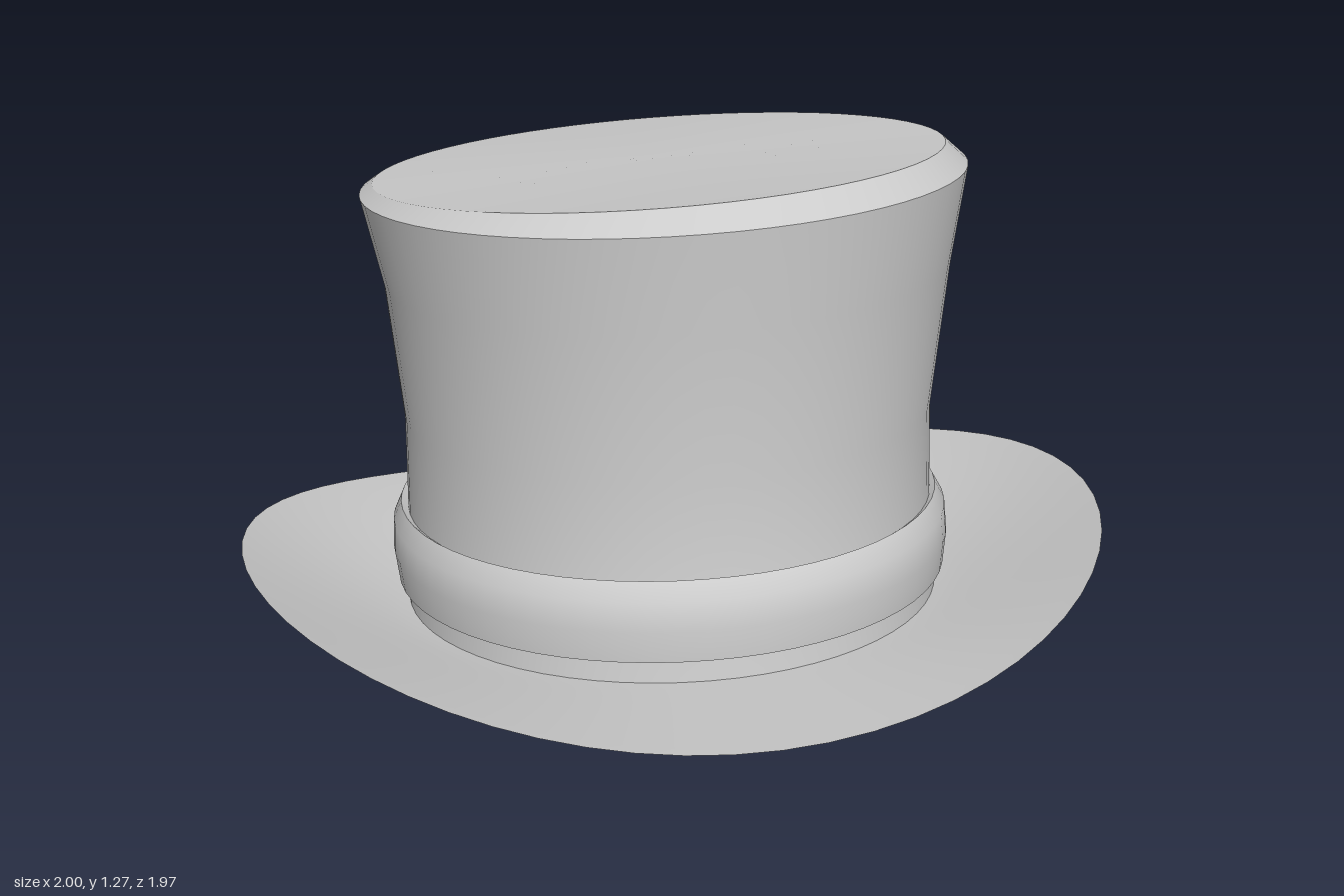
import * as THREE from 'three';
import { toCreasedNormals } from 'three/addons/utils/BufferGeometryUtils.js';

const SEG = 64;
const material = new THREE.MeshStandardMaterial({ color: 0xcccccc, side: THREE.DoubleSide });

// Grid surface around the y axis; point(row, angle) gives each vertex, rows run bottom to top.
function surface(name, rows, point, crease = 0.6) {
  const pos = [], index = [];
  for (let i = 0; i < rows; i++)
    for (let j = 0; j < SEG; j++) pos.push(...point(i, (j / SEG) * Math.PI * 2));
  for (let i = 0; i < rows - 1; i++)
    for (let j = 0; j < SEG; j++) {
      const a = i * SEG + j, b = i * SEG + (j + 1) % SEG;
      index.push(a, b, b + SEG, a, b + SEG, a + SEG);
    }
  const g = new THREE.BufferGeometry();
  g.setAttribute('position', new THREE.Float32BufferAttribute(pos, 3));
  g.setIndex(index);
  const mesh = new THREE.Mesh(toCreasedNormals(g, crease), material);
  mesh.name = name;
  return mesh;
}

// Loft through tilted circles: [centre x, y, z, radius, slope in x, slope in z]
function loft(name, rings) {
  return surface(name, rings.length, (i, t) => {
    const [cx, cy, cz, r, sx, sz] = rings[i];
    const x = r * Math.sin(t), z = r * Math.cos(t);
    return [cx + x, cy + sx * x + sz * z, cz + z];
  });
}

export function createModel() {
  const hat = new THREE.Group();
  hat.name = 'topHat';

  // Flared crown, leaning back as it rises
  const rim = [0.005, 1.123, -0.11, 0.682, 0.02, 0.158];
  const lid = [0, 1.148, -0.14, 0.645, 0.036, 0.187];
  hat.add(loft('crown', [
    [0, 0.118, 0.004, 0.624, 0, 0.14],
    [0, 0.34, -0.03, 0.612, 0, 0.14],
    [0.002, 0.585, -0.053, 0.608, 0, 0.14],
    [0.007, 0.915, -0.08, 0.642, 0.01, 0.15],
    rim,
  ]));

  // Bevelled top edge and flat lid
  hat.add(loft('crownBevel', [rim, lid]));
  hat.add(loft('crownTop', [lid, [0, 1.148, -0.14, 0.0001, 0, 0]]));

  // Folded lip inside the opening
  hat.add(loft('innerLip', [
    [0, 0.15, 0, 0.604, 0, 0.14],
    [0, 0.118, 0.004, 0.604, 0, 0.14],
    [0, 0.118, 0.004, 0.624, 0, 0.14],
  ]));

  // Hat band, tucked in at the bottom and bevelled at the top
  hat.add(loft('band', [
    [0, 0.195, -0.01, 0.622, 0, 0.14],
    [0, 0.2, -0.01, 0.643, 0, 0.14],
    [0, 0.27, -0.02, 0.651, 0, 0.14],
    [0, 0.335, -0.03, 0.647, 0, 0.14],
    [0, 0.373, -0.042, 0.627, 0, 0.14],
    [0, 0.36, -0.04, 0.609, 0, 0.14],
  ]));

  // Tilted brim, flat by the crown and curling up at the sides
  const ROWS = 13;
  hat.add(surface('brim', ROWS, (i, t) => {
    const k = 1 - i / (ROWS - 1);
    const r = 0.615 + 0.385 * k;
    const s = Math.sin(t), c = Math.cos(t);
    return [r * s, 0.143 + 0.143 * r * c + 0.18 * Math.pow(k, 1.3) * s * s, r * c * 0.987];
  }, 1));

  return hat;
}
